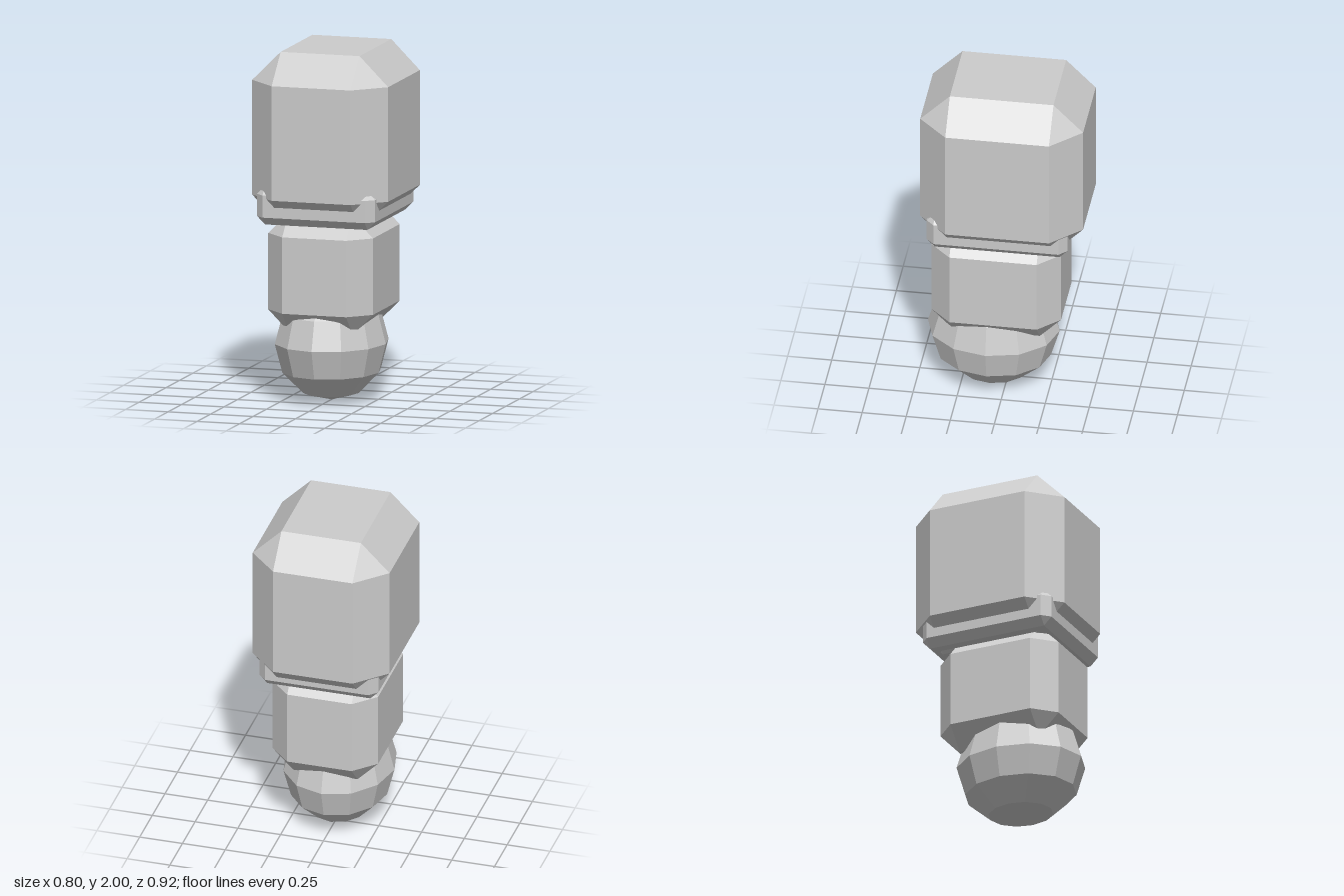
import * as THREE from 'three';
import { ConvexGeometry } from 'three/addons/geometries/ConvexGeometry.js';

const material = new THREE.MeshStandardMaterial({ color: 0xcccccc, flatShading: true });

// Box with every edge cut at 45 degrees and a triangle at every corner
function chamferedBox(name, halfX, y0, y1, zBack, zFront, cut) {
  const hy = (y1 - y0) / 2, hz = (zFront - zBack) / 2;
  const points = [];
  for (const sx of [-1, 1]) for (const sy of [-1, 1]) for (const sz of [-1, 1]) {
    points.push(
      new THREE.Vector3(sx * halfX, sy * (hy - cut), sz * (hz - cut)),
      new THREE.Vector3(sx * (halfX - cut), sy * hy, sz * (hz - cut)),
      new THREE.Vector3(sx * (halfX - cut), sy * (hy - cut), sz * hz)
    );
  }
  const mesh = new THREE.Mesh(new ConvexGeometry(points), material);
  mesh.name = name;
  mesh.position.set(0, (y0 + y1) / 2, (zBack + zFront) / 2);
  return mesh;
}

export function createModel() {
  const group = new THREE.Group();
  group.name = 'stackedBlocks';

  // Large block on top, thin collar under it, smaller block below
  group.add(
    chamferedBox('upperBlock', 0.4, 1.012, 2, -0.462, 0.462, 0.168),
    chamferedBox('collar', 0.347, 1.027, 1.245, -0.385, 0.415, 0.046),
    chamferedBox('lowerBlock', 0.308, 0.41, 1.085, -0.33, 0.405, 0.12)
  );

  // Faceted ball at the bottom, longer from front to back
  const ball = new THREE.Mesh(new THREE.SphereGeometry(1, 12, 6), material);
  ball.name = 'ball';
  ball.scale.set(0.318, 0.33, 0.374);
  ball.position.set(0, 0.33, 0.08);
  group.add(ball);

  return group;
}
